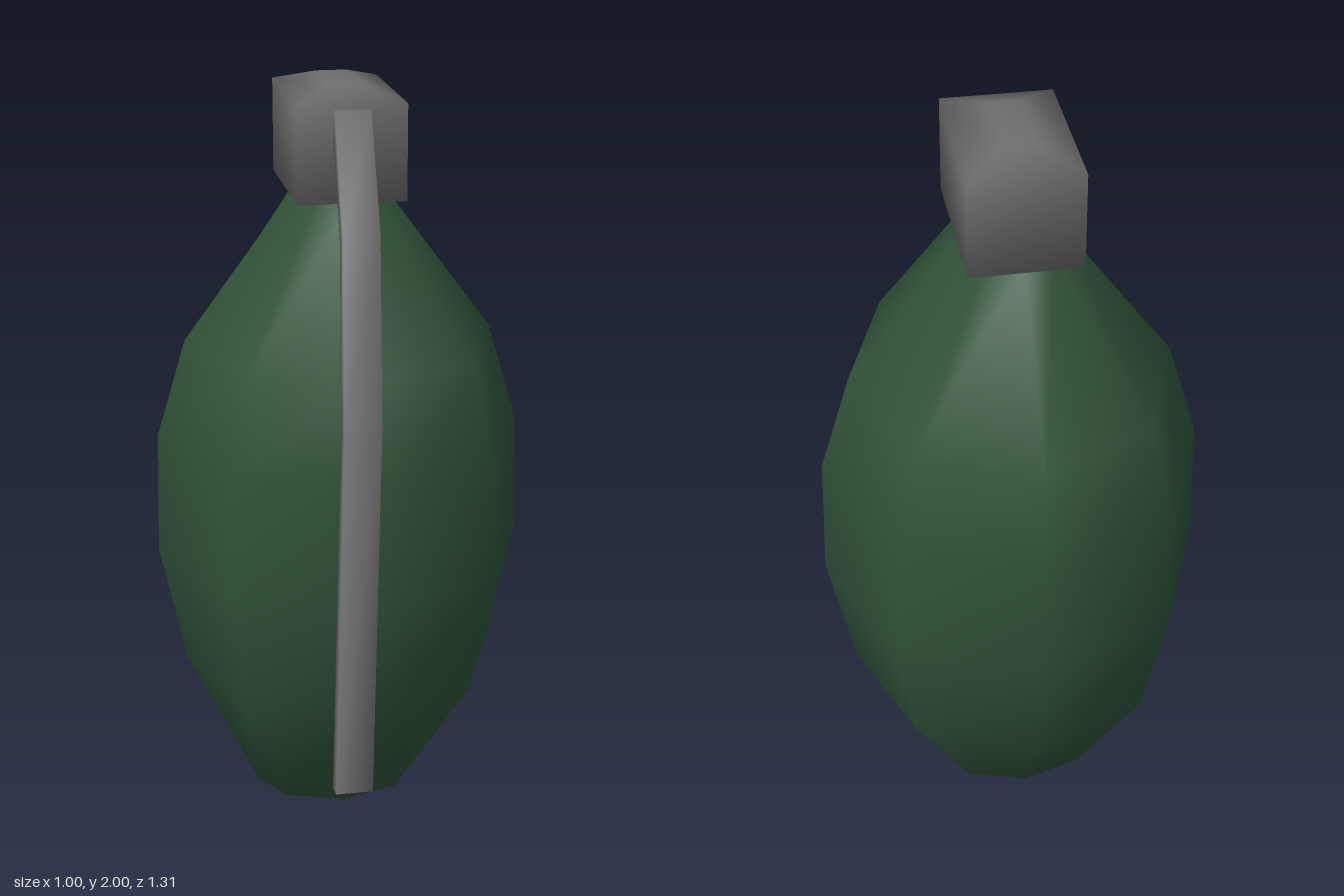
import * as THREE from 'three';

// Smooth closed skin through rings of [x, y, z] points, listed from bottom to top
function loft(rings) {
  const n = rings[0].length, last = (rings.length - 1) * n, index = [];
  for (let i = 0; i < rings.length - 1; i++) {
    for (let j = 0; j < n; j++) {
      const k = (j + 1) % n, a = i * n + j, b = i * n + k;
      index.push(a, a + n, b, b, a + n, b + n);
    }
  }
  for (let j = 1; j < n - 1; j++) {
    index.push(0, j, j + 1, last, last + j + 1, last + j);
  }
  const geometry = new THREE.BufferGeometry();
  geometry.setAttribute('position', new THREE.Float32BufferAttribute(rings.flat(2), 3));
  geometry.setIndex(index);
  geometry.computeVertexNormals();
  return geometry;
}

export function createModel() {
  const green = new THREE.MeshStandardMaterial({ color: 0x2f5238 });
  green.name = 'dark green';
  const grey = new THREE.MeshStandardMaterial({ color: 0x6e6e6e });
  grey.name = 'metal grey';

  const group = new THREE.Group();
  const add = (name, geometry, material) => {
    const mesh = new THREE.Mesh(geometry, material);
    mesh.name = name;
    group.add(mesh);
  };

  // Eight-sided body: height, x radius, z radius, x centre
  const body = [
    [0, 0.22, 0.163, -0.015],
    [0.395, 0.427, 0.452, 0],
    [0.73, 0.498, 0.522, 0],
    [1.06, 0.49, 0.52, 0],
    [1.32, 0.412, 0.48, 0],
    [1.725, 0.112, 0.19, 0],
  ].map(([y, rx, rz, cx]) => Array.from({ length: 8 }, (_, j) => {
    const a = j * Math.PI / 4;
    return [cx + rx * Math.cos(a), y, -0.133 + rz * Math.sin(a)];
  }));
  add('body', loft(body), green);

  // Block-shaped head with a bevelled top: height, half width, half depth
  const head = [[1.72, 0.14, 0.212], [1.967, 0.14, 0.212], [2, 0.04, 0.11]]
    .map(([y, w, d]) => [[1, 1], [-1, 1], [-1, -1], [1, -1]]
      .map(([sx, sz]) => [sx * w, y, -0.133 + sz * d]));
  add('head', loft(head), grey);

  // Bent flat lever, from the free end up into the head
  const path = [[-0.098, 0.37, 0.633], [-0.05, 1.255, 0.48], [-0.02, 1.685, 0.293], [0, 1.94, 0.065]];
  const lever = path.map(([x, y, z], i) => {
    const p = path[Math.max(i - 1, 0)], q = path[Math.min(i + 1, path.length - 1)];
    const length = Math.hypot(q[1] - p[1], q[2] - p[2]);
    const ny = -(q[2] - p[2]) / length, nz = (q[1] - p[1]) / length;
    return [[1, 1], [-1, 1], [-1, -1], [1, -1]]
      .map(([sx, s]) => [x + sx * 0.046, y + s * ny * 0.025, z + s * nz * 0.025]);
  });
  add('lever', loft(lever), grey);

  return group;
}
